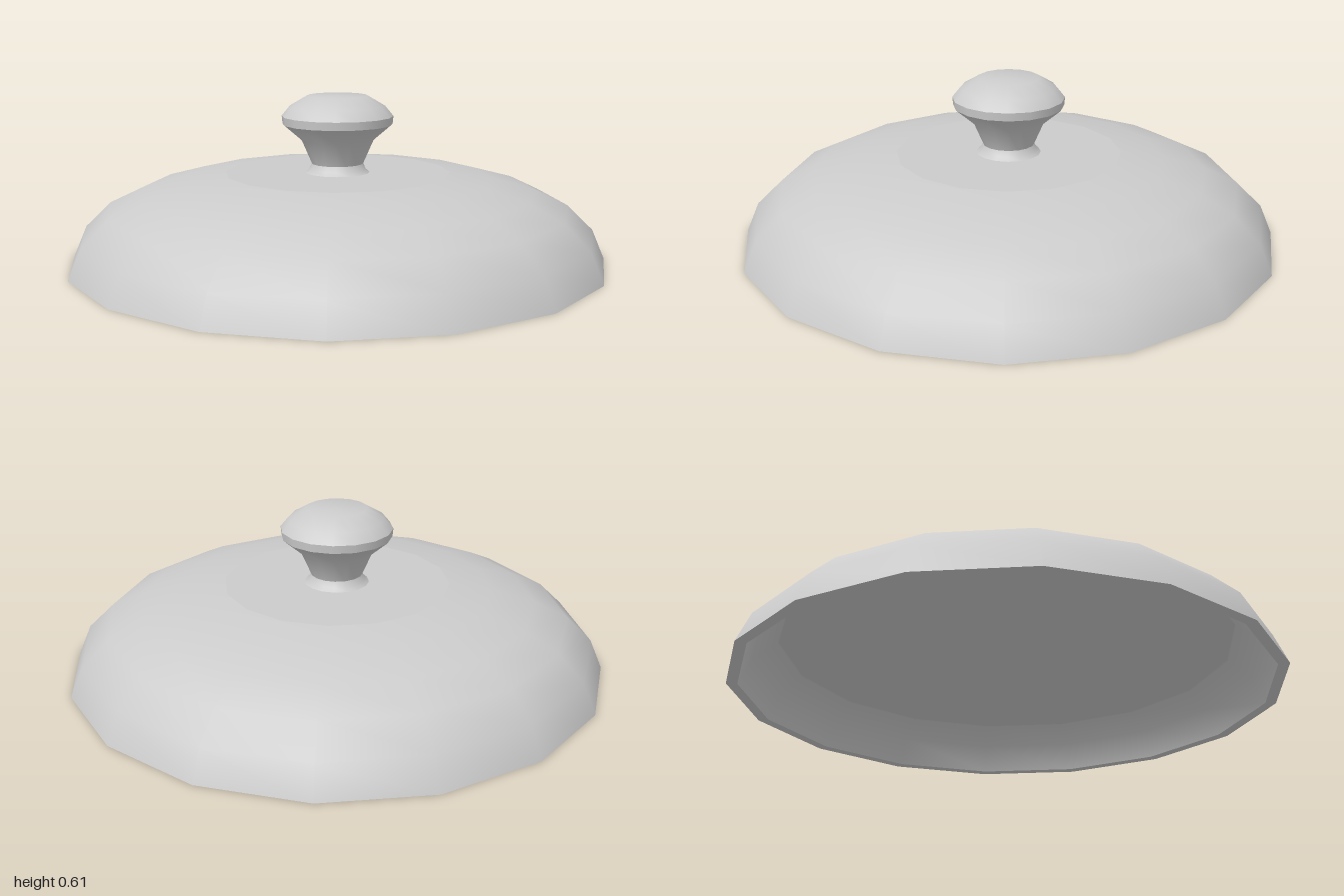
import * as THREE from 'three';

const SIDES = 16;
const material = new THREE.MeshStandardMaterial({ color: 0xcccccc });

// Revolve each [radius, height] run separately, so edges between runs stay sharp
function revolve(parent, name, profile) {
  const points = profile.map(([r, y]) => new THREE.Vector2(r, y));
  const mesh = new THREE.Mesh(new THREE.LatheGeometry(points, SIDES), material);
  mesh.name = name;
  parent.add(mesh);
}

export function createModel() {
  const lid = new THREE.Group();
  lid.name = 'lid';

  // Hollow cover: underside, rim, domed wall and flat crown
  const cover = new THREE.Group();
  cover.name = 'cover';
  revolve(cover, 'innerCeiling', [[0, 0.165], [0.83, 0.165]]);
  revolve(cover, 'innerWall', [[0.83, 0.165], [0.915, 0.1], [0.96, 0]]);
  revolve(cover, 'rim', [[0.96, 0], [1, 0]]);
  revolve(cover, 'dome', [
    [1, 0], [0.953, 0.11], [0.857, 0.203], [0.733, 0.262], [0.577, 0.305], [0.418, 0.325],
  ]);
  revolve(cover, 'crown', [[0.418, 0.325], [0, 0.325]]);

  // Turned knob: flared foot, widening stem, narrow band and rounded cap
  const knob = new THREE.Group();
  knob.name = 'knob';
  revolve(knob, 'knobFoot', [[0.12, 0.325], [0.105, 0.338], [0.096, 0.358]]);
  revolve(knob, 'knobStem', [[0.096, 0.358], [0.134, 0.445], [0.204, 0.505]]);
  revolve(knob, 'knobBand', [[0.204, 0.505], [0.207, 0.535]]);
  revolve(knob, 'knobCap', [[0.207, 0.535], [0.176, 0.573], [0.113, 0.61], [0, 0.612]]);

  lid.add(cover, knob);
  return lid;
}
